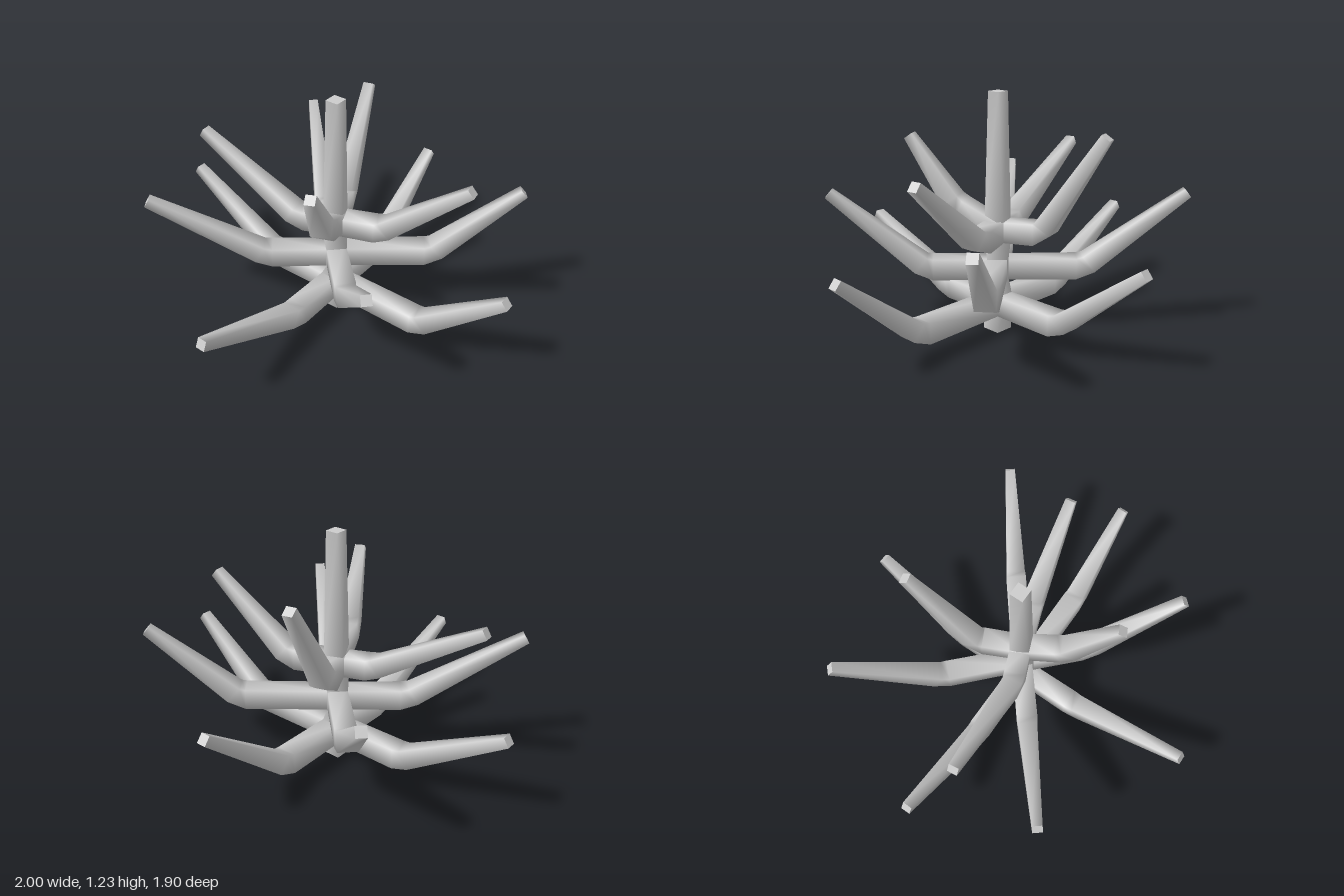
import * as THREE from 'three';

const UP = new THREE.Vector3(0, 1, 0);
const CZ = -0.04; // trunk position in z

// Square ring around a centre, facing direction d, with side vector s
function ring(c, d, s, half) {
  const u = new THREE.Vector3().crossVectors(d, s);
  return [[1, 1], [-1, 1], [-1, -1], [1, -1]].map(([a, b]) =>
    c.clone().addScaledVector(s, a * half).addScaledVector(u, b * half));
}

// Skin a list of square rings: smooth sides, separate flat end caps
function skin(name, rings, material) {
  const pos = [], index = [];
  rings.forEach(r => r.forEach(p => pos.push(p.x, p.y, p.z)));
  for (let k = 0; k < rings.length - 1; k++) {
    for (let i = 0; i < 4; i++) {
      const a = k * 4 + i, b = k * 4 + (i + 1) % 4;
      index.push(a, b, b + 4, a, b + 4, a + 4);
    }
  }
  for (const cap of [[...rings[0]].reverse(), rings[rings.length - 1]]) {
    const n = pos.length / 3;
    cap.forEach(p => pos.push(p.x, p.y, p.z));
    index.push(n, n + 1, n + 2, n, n + 2, n + 3);
  }
  const g = new THREE.BufferGeometry();
  g.setAttribute('position', new THREE.Float32BufferAttribute(pos, 3));
  g.setIndex(index);
  g.computeVertexNormals();
  const mesh = new THREE.Mesh(g, material);
  mesh.name = name;
  return mesh;
}

// Branch: level run from the trunk, bevelled elbow, tapering upward tip
function branch(name, y, elbow, tip, material) {
  const start = new THREE.Vector3(0, y, CZ);
  const e = new THREE.Vector3(...elbow), t = new THREE.Vector3(...tip);
  const d1 = e.clone().sub(start).normalize();
  const d2 = t.clone().sub(e).normalize();
  const side = d => new THREE.Vector3().crossVectors(UP, d).normalize();
  const s1 = side(d1), s2 = side(d2);
  return skin(name, [
    ring(start, d1, s1, 0.052),
    ring(e.clone().addScaledVector(d1, -0.035), d1, s1, 0.054),
    ring(e.clone().addScaledVector(d2, 0.035), d2, s2, 0.05),
    ring(t, d2, s2, 0.025),
  ], material);
}

export function createModel() {
  const group = new THREE.Group();
  const material = new THREE.MeshStandardMaterial({ color: 0xcccccc });

  // Trunk: height, half width, twist in degrees to match each branch tier
  const trunk = [
    [0, 0.05, 0], [0.2, 0.05, 0], [0.285, 0.053, 45], [0.39, 0.053, 45],
    [0.48, 0.052, 22], [0.59, 0.05, 22], [1.23, 0.034, 0],
  ].map(([y, half, deg]) => {
    const a = THREE.MathUtils.degToRad(deg);
    return ring(new THREE.Vector3(0, y, CZ), UP,
      new THREE.Vector3(Math.cos(a), 0, -Math.sin(a)), half);
  });
  group.add(skin('trunk', trunk, material));

  // Branch tiers: elbow point and tip point of each branch
  const tiers = [
    ['lowerBranch', 0.145, [
      [[0.54, 0.145, CZ], [0.983, 0.51, CZ]],
      [[-0.43, 0.145, CZ], [-0.985, 0.475, CZ]],
      [[0, 0.145, 0.31], [0, 0.42, 0.935]],
      [[0, 0.145, -0.46], [0, 0.525, -0.935]],
    ]],
    ['middleBranch', 0.338, [
      [[0.26, 0.338, 0.21], [0.605, 0.73, 0.535]],
      [[-0.28, 0.338, 0.19], [-0.73, 0.675, 0.555]],
      [[-0.31, 0.338, -0.34], [-0.675, 0.725, -0.7]],
      [[0.39, 0.338, -0.35], [0.74, 0.71, -0.625]],
    ]],
    ['upperBranch', 0.535, [
      [[0.23, 0.535, -0.13], [0.67, 0.905, -0.2]],
      [[-0.18, 0.535, 0.035], [-0.75, 0.87, 0.11]],
      [[0.085, 0.64, 0.17], [0.195, 0.985, 0.395]],
      [[-0.1, 0.54, -0.25], [-0.18, 1.05, -0.565]],
    ]],
  ];
  for (const [name, y, list] of tiers) {
    list.forEach(([elbow, tip], i) => group.add(branch(name + (i + 1), y, elbow, tip, material)));
  }
  return group;
}
